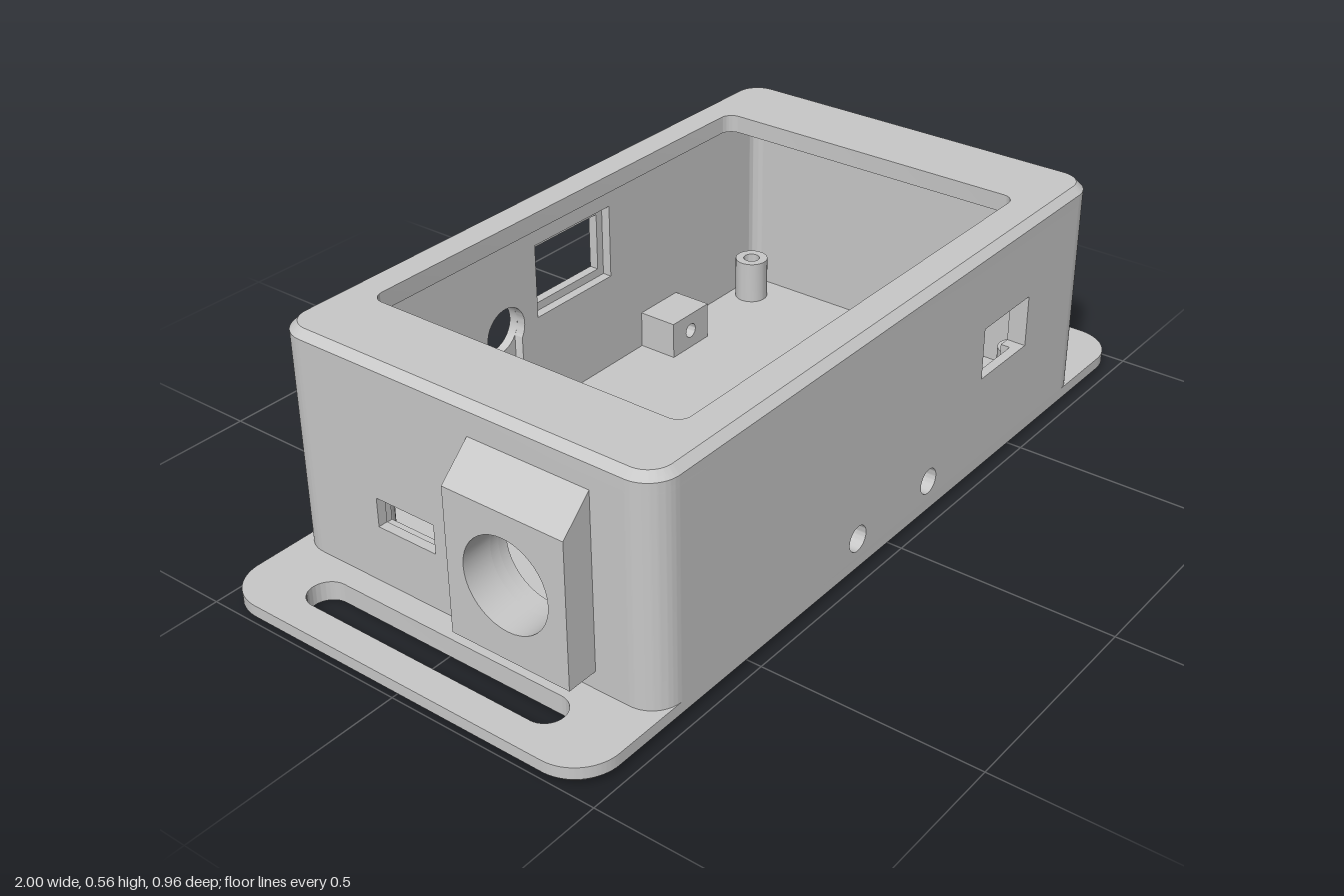
import * as THREE from 'three';
import { toCreasedNormals } from 'three/addons/utils/BufferGeometryUtils.js';

const HX = 0.788, HZ = 0.478;      // half size of the case
const WALL = 0.045, R = 0.07;      // wall thickness, corner radius
const FLOOR = 0.045, LID = 0.52, TOP = 0.562;

// Rounded rectangle between two corners
function roundRect(x0, y0, x1, y1, r) {
  const s = new THREE.Shape();
  s.absarc(x1 - r, y1 - r, r, 0, Math.PI / 2);
  s.absarc(x0 + r, y1 - r, r, Math.PI / 2, Math.PI);
  s.absarc(x0 + r, y0 + r, r, Math.PI, Math.PI * 1.5);
  s.absarc(x1 - r, y0 + r, r, Math.PI * 1.5, Math.PI * 2);
  return s;
}

function polygon(...pts) {
  return new THREE.Shape(pts.map(([x, y]) => new THREE.Vector2(x, y)));
}

function rect(x0, y0, x1, y1) {
  return polygon([x0, y0], [x1, y0], [x1, y1], [x0, y1]);
}

function circle(x, y, r) {
  return new THREE.Shape().absarc(x, y, r, 0, Math.PI * 2);
}

// Outline points without a repeated end, in the wanted direction
function outlinePoints(shape, clockwise) {
  const p = shape.getPoints(16);
  if (p[0].distanceTo(p[p.length - 1]) < 1e-6) p.pop();
  if (THREE.ShapeUtils.isClockWise(p) !== clockwise) p.reverse();
  return p;
}

// Upright solid from a plan outline; levels are [height, inset] pairs, holes run straight through
function solid(outline, holes, levels) {
  const pos = [];
  const put = (p, y) => pos.push(p.x, y, p.y);
  const band = (a, ya, b, yb) => a.forEach((p, i) => {
    const j = (i + 1) % a.length;
    put(p, ya); put(b[i], yb); put(b[j], yb);
    put(p, ya); put(b[j], yb); put(a[j], ya);
  });
  const rings = levels.map(([, inset]) => outlinePoints(outline(inset), false));
  const inner = holes.map((h) => outlinePoints(h, true));
  const last = levels.length - 1;
  for (let i = 0; i < last; i++) band(rings[i], levels[i][0], rings[i + 1], levels[i + 1][0]);
  inner.forEach((h) => band(h, levels[0][0], h, levels[last][0]));
  for (const k of [0, last]) {
    const all = [...rings[k], ...inner.flat()];
    for (const f of THREE.ShapeUtils.triangulateShape(rings[k], inner)) {
      (k ? [f[0], f[2], f[1]] : f).forEach((v) => put(all[v], levels[k][0]));
    }
  }
  const g = new THREE.BufferGeometry();
  g.setAttribute('position', new THREE.Float32BufferAttribute(pos, 3));
  return toCreasedNormals(g, 0.5);
}

// Upright panel with holes, its outer face at the given distance, turned to face one side
function panel(shape, holes, outer, depth, angle) {
  shape.holes = holes;
  const g = new THREE.ExtrudeGeometry(shape, { depth, bevelEnabled: false, curveSegments: 20 });
  g.translate(0, 0, outer - depth);
  return toCreasedNormals(g.rotateY(angle), 0.5);
}

export function createModel() {
  const model = new THREE.Group();
  const grey = new THREE.MeshStandardMaterial({ color: 0xc8c8c8 });
  grey.name = 'light grey plastic';
  const add = (name, geometry) => {
    const m = new THREE.Mesh(geometry, grey);
    m.name = name;
    model.add(m);
  };

  // Base plate with strap slots and a chamfered underside
  const plate = (i) => roundRect(-1 + i, -HZ + i, 1 - i, HZ - i, 0.1 - i);
  const slots = [-1, 1].map((s) =>
    roundRect(s * 0.886 - 0.044, -0.333, s * 0.886 + 0.044, 0.333, 0.0439));
  add('basePlate', solid(plate, slots, [[0, 0.018], [0.018, 0], [FLOOR, 0]]));

  // Top frame with a large opening and a chamfered rim
  const frame = (i) => roundRect(-HX + i, -HZ + i, HX - i, HZ - i, R - i);
  add('topFrame', solid(frame, [roundRect(-0.603, -0.397, 0.585, 0.39, 0.03)],
    [[LID, 0], [TOP - 0.017, 0], [TOP, 0.017]]));

  // Rounded corner posts
  for (const [sx, sz, a] of [[1, 1, 0], [-1, 1, 1], [-1, -1, 2], [1, -1, 3]]) {
    const a0 = a * Math.PI / 2, a1 = a0 + Math.PI / 2;
    const cx = sx * (HX - R), cz = sz * (HZ - R);
    const post = () => new THREE.Shape()
      .absarc(cx, cz, R, a0, a1, false)
      .absarc(cx, cz, R - WALL, a1, a0, true);
    add('cornerPost', solid(post, [], [[FLOOR, 0], [LID, 0]]));

    // Hollow standoff near each corner
    const sxp = sx * 0.66, szp = sz * 0.38;
    add('standoff', solid(() => circle(sxp, szp, 0.04), [circle(sxp, szp, 0.02)],
      [[FLOOR, 0], [0.15, 0]]));
  }

  // Walls in two layers, so that openings can be stepped on the inside
  function wall(name, angle, half, dist, outerHoles, innerHoles) {
    const face = () => rect(-half, FLOOR, half, LID);
    add(name + 'Outer', panel(face(), outerHoles, dist, WALL / 2, angle));
    add(name + 'Inner', panel(face(), innerHoles, dist - WALL / 2, WALL / 2, angle));
  }
  const screwY = 0.09, low = FLOOR + 0.005;
  const frontScrews = [-0.137, 0.133], backScrews = [-0.348, 0.352];
  const screws = (xs) => xs.map((x) => circle(x, screwY, 0.03));

  // Front: window with a guide groove below it
  const frontGroove = polygon([0.362, low], [0.492, low], [0.492, 0.25], [0.52, 0.25],
    [0.52, 0.373], [0.333, 0.373], [0.333, 0.25], [0.362, 0.25]);
  wall('frontWall', 0, HX - R, HZ,
    [rect(0.333, 0.25, 0.52, 0.373), ...screws(frontScrews)],
    [frontGroove, ...screws(frontScrews)]);

  // Back: window in a pocket, and a round hole with a groove (u runs toward -x)
  const backHoles = screws(backScrews.map((x) => -x));
  const keyhole = new THREE.Shape().moveTo(0.135, low).lineTo(0.235, low)
    .absarc(0.185, 0.285, 0.06, -0.585, Math.PI + 0.585, false).lineTo(0.135, low);
  wall('backWall', Math.PI, HX - R, HZ,
    [rect(-0.155, 0.3, 0.06, 0.44), circle(0.185, 0.285, 0.06), ...backHoles],
    [rect(-0.175, 0.28, 0.08, 0.46), keyhole, ...backHoles]);

  // Ends: plain on the left, ports on the right
  const socketHole = () => circle(0.18, 0.26, 0.105);
  wall('leftWall', Math.PI / 2, HZ - R, HX, [], []);
  wall('rightWall', -Math.PI / 2, HZ - R, HX,
    [socketHole(), rect(-0.23, 0.18, -0.075, 0.248)],
    [socketHole(), rect(-0.24, 0.17, -0.065, 0.248)]);

  // Socket housing on the right end, with a sloped top
  const out = 0.862;
  add('socketHousing', panel(rect(0.033, 0.087, 0.328, 0.42),
    [socketHole()], out, out - HX, -Math.PI / 2));
  const slope = new THREE.ExtrudeGeometry(
    polygon([-out, 0.42], [-HX, 0.42], [-HX, 0.49]), { depth: 0.295, bevelEnabled: false });
  add('socketHousingSlope', slope.translate(0, 0, 0.033));

  // Screw blocks against the walls, with a stepped bore
  const inside = HZ - WALL;
  for (const [xs, angle] of [[frontScrews, 0], [backScrews.map((x) => -x), Math.PI]]) {
    for (const x of xs) {
      const face = () => rect(x - 0.067, FLOOR, x + 0.067, 0.135);
      add('screwBlock', panel(face(), [circle(x, screwY, 0.03)], inside, 0.045, angle));
      add('screwBlockEnd', panel(face(), [circle(x, screwY, 0.018)], inside - 0.045, 0.053, angle));
    }
  }
  return model;
}
